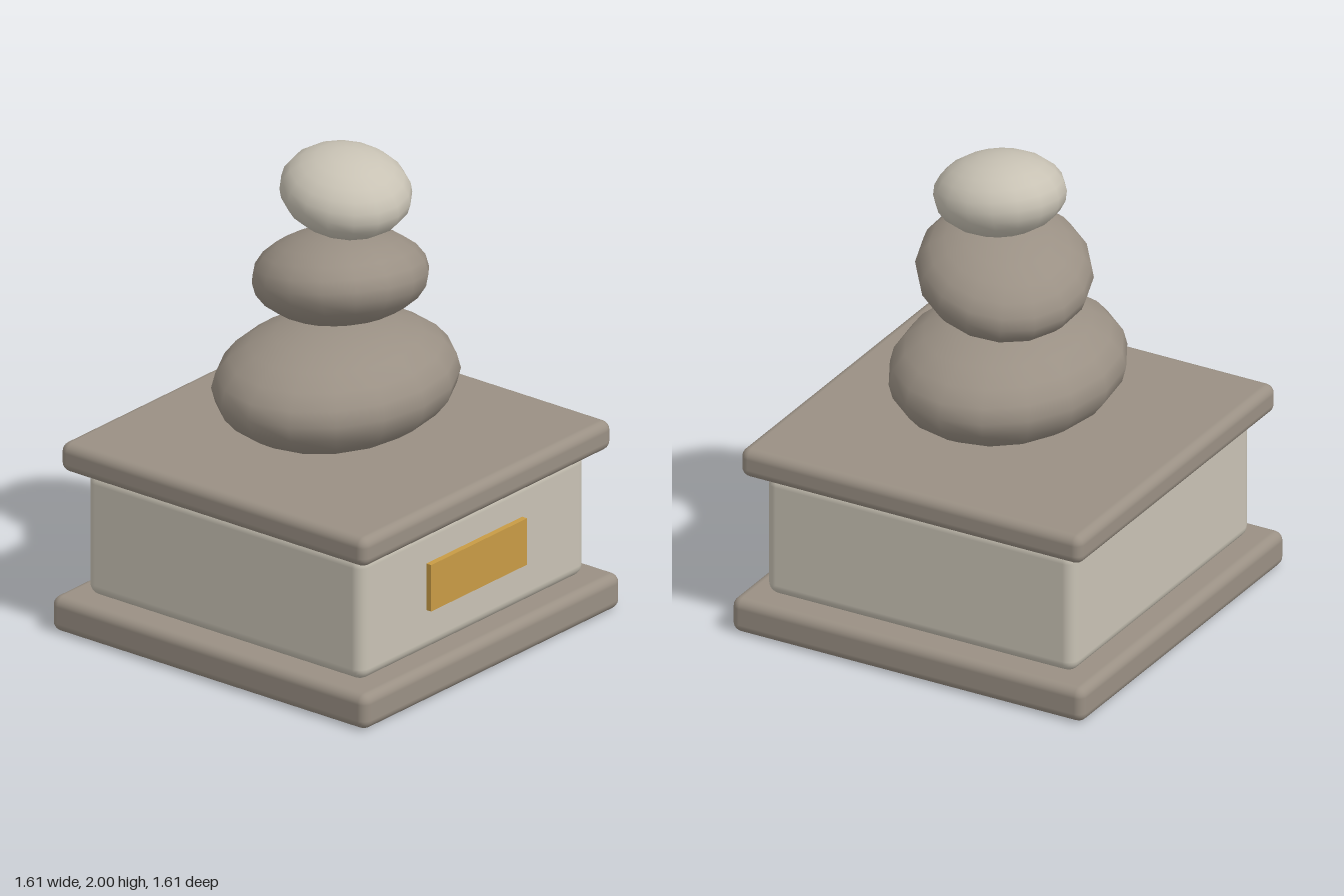
import * as THREE from 'three';
import { RoundedBoxGeometry } from 'three/addons/geometries/RoundedBoxGeometry.js';

export function createModel() {
  const model = new THREE.Group();
  model.name = 'stackedStonesOnPlinth';

  const material = (name, color) => {
    const m = new THREE.MeshStandardMaterial({ color });
    m.name = name;
    return m;
  };
  const darkStone = material('darkStone', 0x9a9084);
  const paleStone = material('paleStone', 0xc8c2b4);
  const brass = material('brass', 0xc89b45);

  const add = (name, geometry, mat, x, y, z) => {
    const mesh = new THREE.Mesh(geometry, mat);
    mesh.name = name;
    mesh.position.set(x, y, z);
    model.add(mesh);
    return mesh;
  };

  // Square rounded blocks of the plinth, from bottom to top
  const block = (name, width, bottom, top, radius, mat) =>
    add(name, new RoundedBoxGeometry(width, top - bottom, width, 3, radius), mat, 0, (bottom + top) / 2, 0);
  block('plinthBase', 1.61, 0, 0.15, 0.04, darkStone);
  block('plinthBody', 1.41, 0.15, 0.685, 0.05, paleStone);
  block('plinthCap', 1.56, 0.685, 0.81, 0.04, darkStone);

  // Plain plaque, sunk slightly into the front of the body
  add('plaque', new THREE.BoxGeometry(0.6, 0.2, 0.04), brass, 0, 0.433, 0.71);

  // Flattened, tilted pebbles
  const pebble = (name, mat, center, radii, tilt) => {
    const mesh = add(name, new THREE.SphereGeometry(1, 16, 12), mat, ...center);
    mesh.scale.set(...radii);
    mesh.rotation.set(...tilt);
  };
  pebble('lowerPebble', darkStone, [0, 1.04, 0], [0.552, 0.245, 0.452], [0, 0, 0]);
  pebble('middlePebble', darkStone, [0.028, 1.475, 0], [0.395, 0.194, 0.355], [-0.1, 0.5, -0.15]);
  pebble('upperPebble', paleStone, [0.058, 1.83, 0.003], [0.255, 0.165, 0.272], [0.15, 0, 0.08]);

  return model;
}
